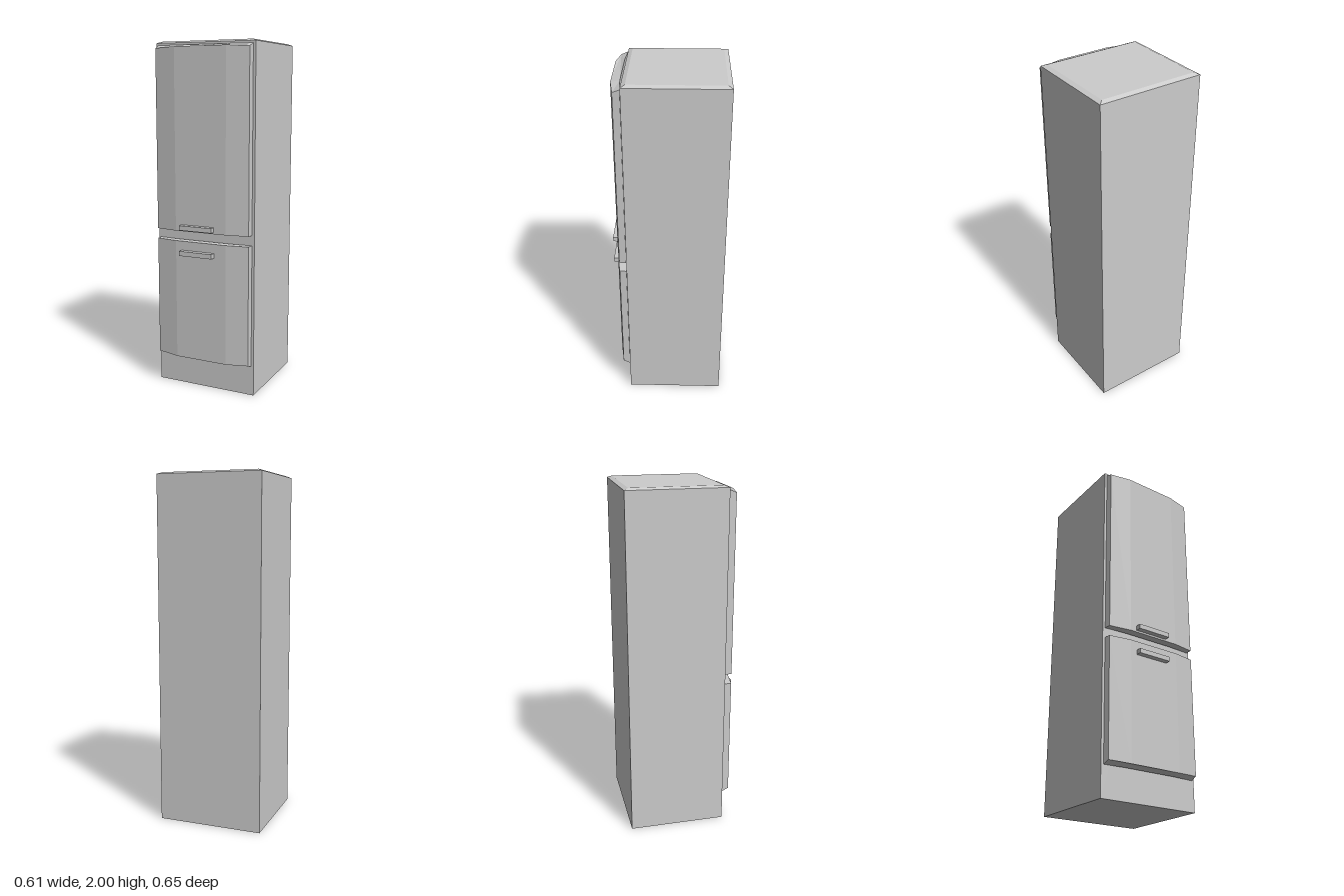
import * as THREE from 'three';

const material = new THREE.MeshStandardMaterial({ color: 0xcccccc, flatShading: true });

function addMesh(group, name, geometry) {
  const flat = geometry.index ? geometry.toNonIndexed() : geometry;
  flat.computeVertexNormals();
  const mesh = new THREE.Mesh(flat, material);
  mesh.name = name;
  group.add(mesh);
  return mesh;
}

// Move every vertex by a rule
function reshape(geometry, rule) {
  const pos = geometry.attributes.position;
  const v = new THREE.Vector3();
  for (let i = 0; i < pos.count; i++) {
    rule(v.fromBufferAttribute(pos, i));
    pos.setXYZ(i, v.x, v.y, v.z);
  }
  return geometry;
}

// Tall box with a shallow bevel around the top
function cabinetGeometry() {
  const g = new THREE.BoxGeometry(0.61, 2, 0.557, 1, 2, 1);
  reshape(g, (v) => {
    if (v.y > 0.5) {
      v.x -= Math.sign(v.x) * 0.025;
      v.z -= Math.sign(v.z) * 0.024;
    } else if (v.y > -0.5) {
      v.y = 0.99;
    }
  });
  return g.translate(0, 1, -0.048);
}

// Bowed door panel; the chosen end slopes inward towards the front
function doorGeometry(bottom, top, slopeTop) {
  const half = [[0.291, 0.233], [0.288, 0.272], [0.158, 0.292]]; // x, z
  const outline = [
    ...half,
    ...half.map(([x, z]) => [-x, z]).reverse(),
    [-0.158, 0.242], [0.158, 0.242],
  ];
  const shape = new THREE.Shape(outline.map(([x, z]) => new THREE.Vector2(x, -z)));
  const g = new THREE.ExtrudeGeometry(shape, { depth: top - bottom, bevelEnabled: false });
  g.rotateX(-Math.PI / 2).translate(0, bottom, 0);
  return reshape(g, (v) => {
    const atTop = v.y > (top + bottom) / 2;
    if (atTop !== slopeTop || v.z < 0.26) return;
    const inset = v.z > 0.28 ? 0.01 : 0.016;
    v.y += atTop ? -inset : inset;
  });
}

export function createModel() {
  const model = new THREE.Group();
  model.name = 'refrigerator';

  addMesh(model, 'cabinet', cabinetGeometry());

  const doors = [
    { name: 'upper', bottom: 0.938, top: 1.977, slopeTop: true, handleY: 0.962 },
    { name: 'lower', bottom: 0.173, top: 0.88, slopeTop: false, handleY: 0.814 },
  ];
  for (const d of doors) {
    addMesh(model, d.name + 'Door', doorGeometry(d.bottom, d.top, d.slopeTop));
    const handle = addMesh(model, d.name + 'Handle', new THREE.BoxGeometry(0.204, 0.027, 0.033));
    handle.position.set(-0.018, d.handleY, 0.3085);
  }
  return model;
}
